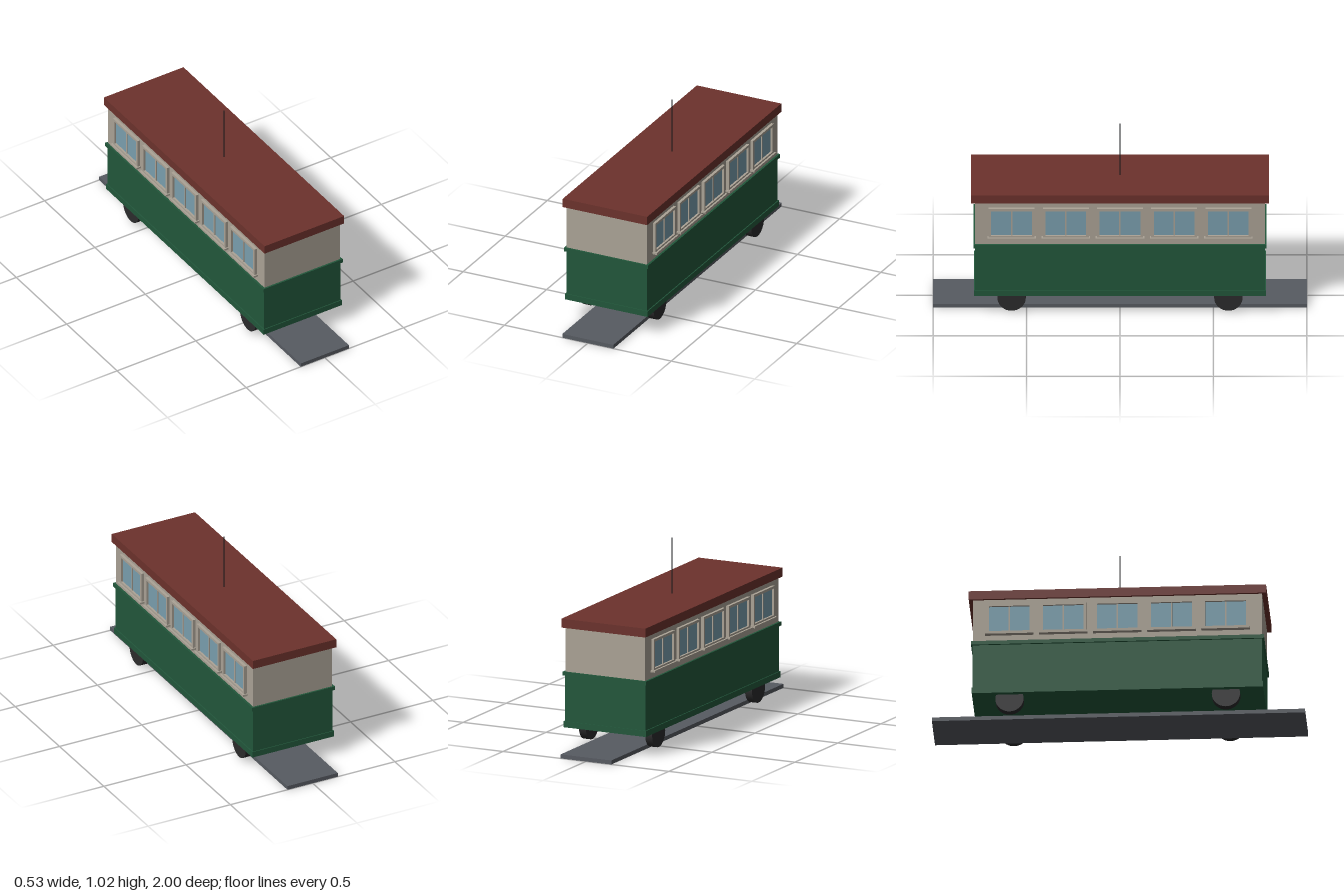
import * as THREE from 'three';

export function createModel() {
  const tram = new THREE.Group();
  tram.name = 'tram';

  const paint = (name, color) => {
    const m = new THREE.MeshStandardMaterial({ color });
    m.name = name;
    return m;
  };
  const green = paint('green', 0x22573b);
  const cream = paint('cream', 0xaba396);
  const red = paint('red', 0x6c322c);
  const glass = paint('glass blue', 0x7a9fae);
  const rubber = paint('wheel black', 0x2b2b2c);
  const grey = paint('track grey', 0x575b62);
  const black = paint('pole black', 0x15171a);

  const add = (parent, name, geometry, material, x, y, z) => {
    const mesh = new THREE.Mesh(geometry, material);
    mesh.name = name;
    mesh.position.set(x, y, z);
    parent.add(mesh);
    return mesh;
  };
  // Box centred on x and z, given by half width, height range and half length
  const slab = (name, hx, y0, y1, hz, material) =>
    add(tram, name, new THREE.BoxGeometry(hx * 2, y1 - y0, hz * 2), material, 0, (y0 + y1) / 2, 0);

  // Track and layered body
  slab('track', 0.153, 0, 0.022, 1, grey);
  slab('skirt', 0.248, 0.115, 0.148, 0.781, green);
  slab('lowerBody', 0.242, 0.148, 0.4, 0.776, green);
  slab('beltRail', 0.252, 0.4, 0.421, 0.785, green);
  slab('upperBody', 0.24, 0.421, 0.666, 0.775, cream);
  slab('roof', 0.253, 0.666, 0.715, 0.797, red);

  // Pole on the roof
  add(tram, 'pole', new THREE.CylinderGeometry(0.004, 0.004, 0.305, 12), black, 0, 0.8675, 0);

  // Wheels, with their tops tucked into the body
  const wheelGeometry = new THREE.CylinderGeometry(0.076, 0.076, 0.042, 32).rotateZ(Math.PI / 2);
  for (const x of [-0.2, 0.2])
    for (const z of [-0.58, 0.58]) add(tram, 'wheel', wheelGeometry, rubber, x, 0.091, z);

  // Window frame with an opening, extruded outward along +x
  const rect = (target, hw, y0, y1) => {
    target.moveTo(-hw, y0);
    target.lineTo(hw, y0);
    target.lineTo(hw, y1);
    target.lineTo(-hw, y1);
    target.closePath();
    return target;
  };
  const frameShape = rect(new THREE.Shape(), 0.123, 0.464, 0.636);
  frameShape.holes.push(rect(new THREE.Path(), 0.109, 0.476, 0.622));
  const frameGeometry = new THREE.ExtrudeGeometry(frameShape, { depth: 0.016, bevelEnabled: false })
    .rotateY(Math.PI / 2);
  const glassGeometry = new THREE.BoxGeometry(0.004, 0.146, 0.218);
  const mullionGeometry = new THREE.BoxGeometry(0.008, 0.146, 0.008);
  const sillGeometry = new THREE.BoxGeometry(0.027, 0.011, 0.26);

  // Five windows along each side
  for (const side of [0, Math.PI]) {
    const row = new THREE.Group();
    row.name = side ? 'rightWindows' : 'leftWindows';
    row.rotation.y = side;
    for (let i = -2; i <= 2; i++) {
      const z = i * 0.29;
      add(row, 'windowFrame', frameGeometry, cream, 0.24, 0, z);
      add(row, 'windowPane', glassGeometry, glass, 0.242, 0.549, z);
      add(row, 'windowMullion', mullionGeometry, cream, 0.245, 0.549, z);
      add(row, 'windowSill', sillGeometry, cream, 0.2535, 0.461, z);
    }
    tram.add(row);
  }
  return tram;
}
